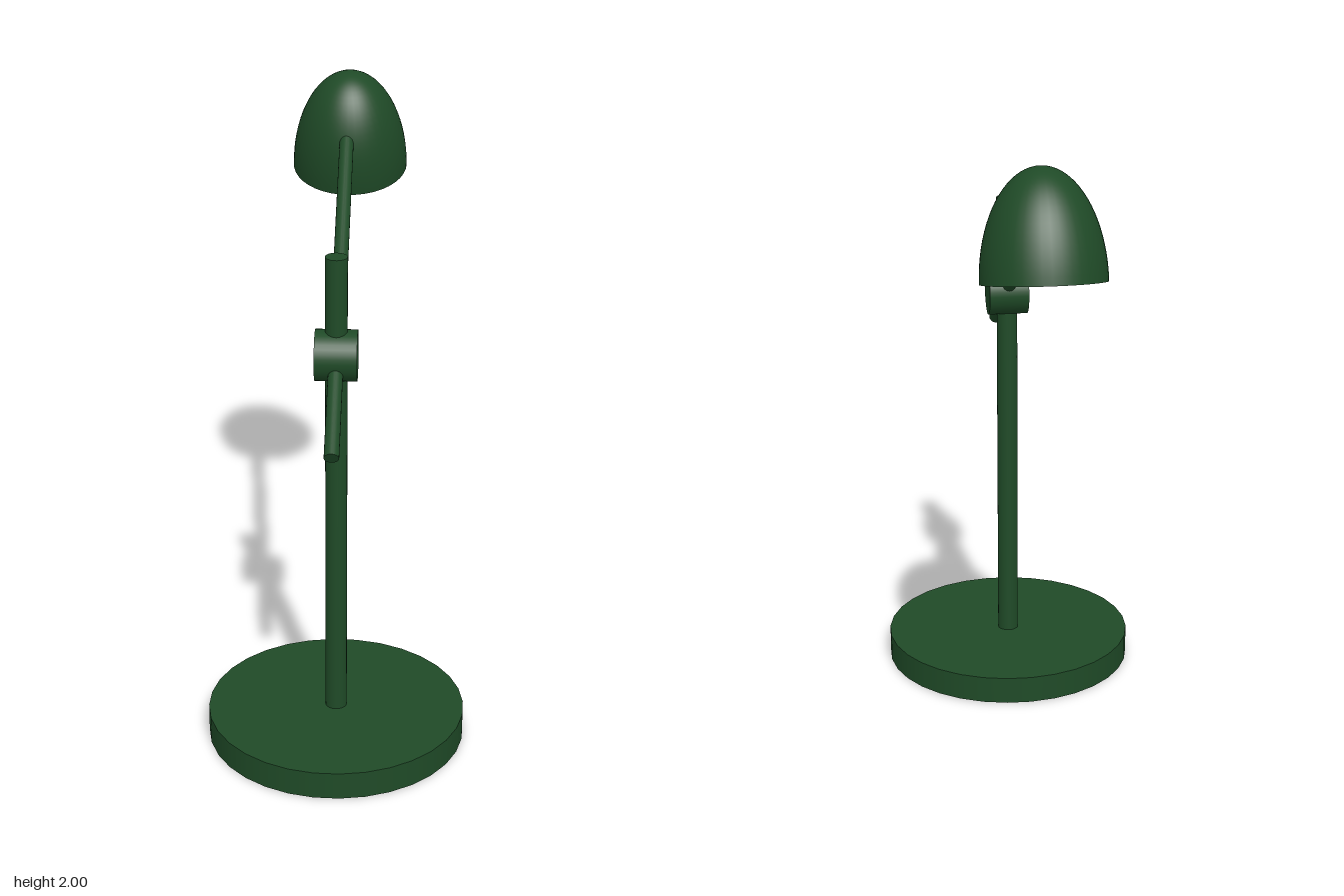
import * as THREE from 'three';

const material = new THREE.MeshStandardMaterial({ color: 0x1f4a27 });
const shadeMaterial = new THREE.MeshStandardMaterial({ color: 0x1f4a27, side: THREE.DoubleSide });

function rod(name, radius, length, segments) {
  const mesh = new THREE.Mesh(new THREE.CylinderGeometry(radius, radius, length, segments), material);
  mesh.name = name;
  return mesh;
}

export function createModel() {
  const lamp = new THREE.Group();
  lamp.name = 'deskLamp';
  const poleZ = 0.365;

  // Round foot and upright pole
  const base = rod('base', 0.422, 0.092, 32);
  base.position.set(0, 0.046, poleZ);
  const pole = rod('pole', 0.035, 1.59, 24);
  pole.position.set(0, 0.88, poleZ);
  lamp.add(base, pole);

  // Everything that swivels around the pole, turned slightly to the left
  const swivel = new THREE.Group();
  swivel.name = 'swivel';
  swivel.position.set(0, 1.35, poleZ);
  swivel.rotation.y = -0.07;
  lamp.add(swivel);

  // Clamp lying across the pole
  const clamp = rod('clamp', 0.081, 0.133, 32);
  clamp.rotation.z = Math.PI / 2;
  swivel.add(clamp);

  // Sloping arm: a short tail in front, the far end inside the shade
  const rise = 0.595, frontZ = 0.33, backZ = -0.84;
  const arm = rod('arm', 0.0235, (frontZ - backZ) * Math.hypot(1, rise), 20);
  const midZ = (frontZ + backZ) / 2;
  arm.position.set(0, -midZ * rise, midZ);
  arm.rotation.x = -Math.atan2(1, rise);
  swivel.add(arm);

  // Open half-ellipsoid shade, tilted so that its mouth faces down and back
  const radius = 0.193, height = 0.346, steps = 20;
  const profile = [];
  for (let i = 0; i <= steps; i++) {
    const a = (i / steps) * Math.PI / 2;
    profile.push(new THREE.Vector2(i === steps ? 0 : radius * Math.cos(a), height * Math.sin(a)));
  }
  const shade = new THREE.Mesh(new THREE.LatheGeometry(profile, 40), shadeMaterial);
  shade.name = 'shade';
  shade.position.set(0.005, 0.31, -0.952);
  shade.rotation.x = 0.238;
  shade.scale.z = 1.045;
  swivel.add(shade);

  return lamp;
}
